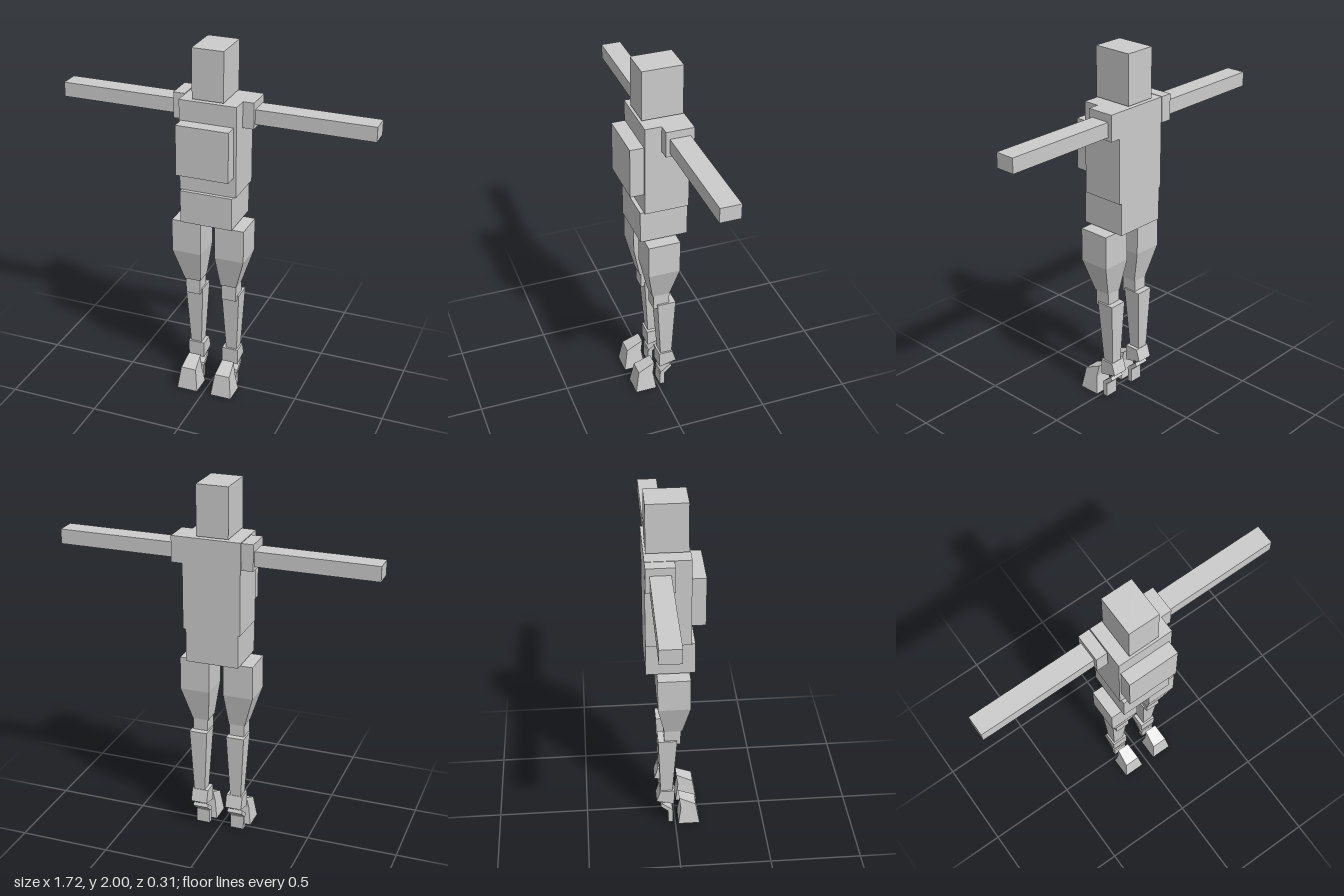
import * as THREE from 'three';

const material = new THREE.MeshStandardMaterial({ color: 0xcccccc, flatShading: true });
const CENTRE = 0.005; // the body's mirror plane in x

// Box given by its extents
function box(name, [x0, x1], [y0, y1], [z0, z1]) {
  const mesh = new THREE.Mesh(new THREE.BoxGeometry(x1 - x0, y1 - y0, z1 - z0), material);
  mesh.position.set((x0 + x1) / 2, (y0 + y1) / 2, (z0 + z1) / 2);
  mesh.name = name;
  return mesh;
}

// Solid from a side profile of [z, y, halfWidth] points, counter-clockwise with z to the right
function prism(name, x, profile) {
  const pos = [];
  const at = (i, s) => [x + s * profile[i][2], profile[i][1], profile[i][0]];
  const tri = (a, b, c) => pos.push(...a, ...b, ...c);
  const outline = profile.map(([z, y]) => new THREE.Vector2(z, y));
  for (const [a, b, c] of THREE.ShapeUtils.triangulateShape(outline, [])) {
    tri(at(a, -1), at(b, -1), at(c, -1));
    tri(at(a, 1), at(c, 1), at(b, 1));
  }
  profile.forEach((_, i) => {
    const j = (i + 1) % profile.length;
    tri(at(j, -1), at(i, -1), at(i, 1));
    tri(at(j, -1), at(i, 1), at(j, 1));
  });
  const geometry = new THREE.BufferGeometry();
  geometry.setAttribute('position', new THREE.Float32BufferAttribute(pos, 3));
  geometry.computeVertexNormals();
  const mesh = new THREE.Mesh(geometry, material);
  mesh.name = name;
  return mesh;
}

function createArm(side) {
  const arm = new THREE.Group();
  arm.name = side > 0 ? 'leftArm' : 'rightArm';
  const span = (a, b) => (side > 0 ? [CENTRE + a, CENTRE + b] : [CENTRE - b, CENTRE - a]);
  arm.add(
    box('shoulder', span(0.157, 0.221), [1.58, 1.722], [-0.156, -0.005]),
    box('armBar', span(0.221, side > 0 ? 0.855 : 0.865), [1.6, 1.68], [-0.135, -0.026]),
  );
  return arm;
}

function createLeg(side) {
  const leg = new THREE.Group();
  leg.name = side > 0 ? 'leftLeg' : 'rightLeg';
  const x = (d) => CENTRE + side * d;
  leg.add(
    // Straight upper block tapering to the knee
    prism('thigh', x(0.122), [
      [-0.098, 0.845, 0.082], [-0.098, 1.03, 0.082], [0.077, 1.03, 0.082], [0.077, 0.845, 0.082],
    ].reverse()),
    prism('lowerThigh', x(0.122), [
      [-0.061, 0.66, 0.045], [0.037, 0.66, 0.045], [0.077, 0.845, 0.082], [-0.098, 0.845, 0.082],
    ]),
    box('knee', [x(0.105) - 0.041, x(0.105) + 0.041], [0.57, 0.66], [-0.061, 0.029]),
    prism('shin', x(0.106), [
      [-0.082, 0.23, 0.031], [-0.016, 0.23, 0.031], [0.009, 0.595, 0.05], [-0.095, 0.595, 0.05],
    ]),
    prism('ankle', x(0.101), [
      [-0.106, 0.164, 0.046], [-0.007, 0.14, 0.046], [-0.005, 0.234, 0.046], [-0.085, 0.234, 0.046],
    ]),
    // Toe wedge with a sloping top
    prism('toe', x(0.101), [
      [0.017, 0, 0.06], [0.138, 0, 0.06], [0.116, 0.127, 0.043], [0.022, 0.17, 0.035], [0.032, 0.105, 0.045],
    ]),
    // Slanted plate joining the ankle to the heel
    prism('heelPlate', x(0.101), [
      [-0.035, 0.08, 0.043], [-0.013, 0.08, 0.043], [-0.016, 0.094, 0.043],
      [-0.073, 0.141, 0.043], [-0.083, 0.122, 0.043],
    ]),
    box('heel', [x(0.101) - 0.038, x(0.101) + 0.038], [0, 0.08], [-0.04, -0.012]),
  );
  // The thigh sits a little further out so its outer face flares
  leg.getObjectByName('lowerThigh').geometry.attributes.position.needsUpdate = true;
  const p = leg.getObjectByName('lowerThigh').geometry.attributes.position;
  for (let i = 0; i < p.count; i++) if (p.getY(i) < 0.7) p.setX(i, p.getX(i) - side * 0.018);
  return leg;
}

export function createModel() {
  const figure = new THREE.Group();
  figure.name = 'blockFigure';
  figure.add(
    box('head', [-0.08, 0.092], [1.73, 2], [-0.146, 0.073]),
    box('torso', [-0.148, 0.166], [1.222, 1.722], [-0.156, 0.083]),
    box('chestPlate', [-0.138, 0.151], [1.333, 1.61], [0.083, 0.157]),
    box('pelvis', [-0.138, 0.151], [1.04, 1.222], [-0.156, 0.104]),
  );
  for (const side of [1, -1]) figure.add(createArm(side), createLeg(side));
  return figure;
}
